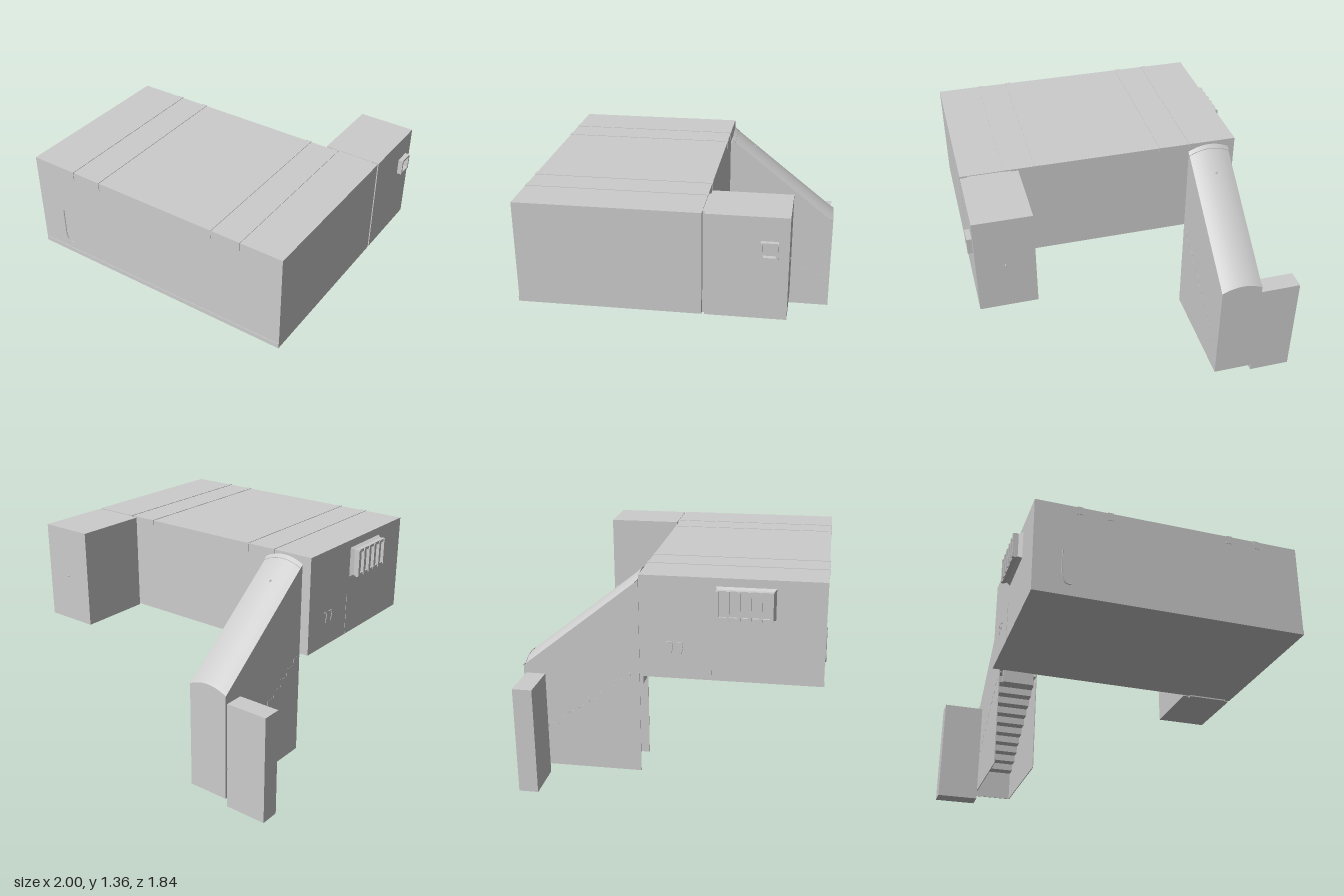
import * as THREE from 'three';
import { toCreasedNormals } from 'three/addons/utils/BufferGeometryUtils.js';

export function createModel() {
  const model = new THREE.Group();
  model.name = 'bunker';
  const grey = new THREE.MeshStandardMaterial({ color: 0xcccccc, side: THREE.DoubleSide });
  grey.name = 'plain grey';

  const add = (name, geometry, parent = model) => {
    const mesh = new THREE.Mesh(geometry, grey);
    mesh.name = name;
    parent.add(mesh);
    return mesh;
  };
  const group = (name) => {
    const g = new THREE.Group();
    g.name = name;
    model.add(g);
    return g;
  };
  // box given by its extents on each axis
  const box = (name, x0, x1, y0, y1, z0, z1, parent) => {
    const m = add(name, new THREE.BoxGeometry(x1 - x0, y1 - y0, z1 - z0), parent);
    m.position.set((x0 + x1) / 2, (y0 + y1) / 2, (z0 + z1) / 2);
    return m;
  };
  // a (z, y) outline extruded across x
  const slab = (name, points, x0, x1, parent) => {
    const shape = new THREE.Shape(points.map(([z, y]) => new THREE.Vector2(z, y)));
    const g = new THREE.ExtrudeGeometry(shape, { depth: x1 - x0, bevelEnabled: false });
    g.rotateY(-Math.PI / 2).translate(x1, 0, 0);
    return add(name, g, parent);
  };
  const pipe = (name, points, radius, parent) => {
    const curve = new THREE.CatmullRomCurve3(points.map((p) => new THREE.Vector3(...p)));
    return add(name, new THREE.TubeGeometry(curve, 16, radius, 6), parent);
  };

  // main hall with a slim skirt along the bottom
  const hall = group('hall');
  box('hallBody', -0.785, 0.965, 0.725, 1.355, -0.18, 0.908, hall);
  box('frontSkirt', -0.782, 0.965, 0.725, 0.755, 0.9, 0.912, hall);

  // straps over the roof with short tabs down the front and back
  const straps = group('roofStraps');
  for (const x of [-0.5, -0.305, 0.49, 0.68]) {
    box('strapTop', x - 0.019, x + 0.019, 1.35, 1.358, -0.183, 0.911, straps);
    box('strapFrontTab', x - 0.019, x + 0.019, 1.303, 1.357, 0.905, 0.911, straps);
    box('strapBackTab', x - 0.019, x + 0.019, 1.303, 1.357, -0.183, -0.177, straps);
  }

  // small pipework on the front and right walls
  pipe('frontPipe', [[-0.605, 1.03, 0.91], [-0.605, 0.93, 0.91], [-0.6, 0.84, 0.912], [-0.58, 0.806, 0.912], [-0.548, 0.802, 0.91]], 0.004, hall);
  for (const z of [0, 0.06]) {
    pipe('wallHook', [[-0.786, 0.95, z - 0.02], [-0.786, 0.95, z + 0.015], [-0.786, 0.88, z + 0.01]], 0.003, hall);
  }
  box('wallSeam', -0.787, -0.78, 0.73, 1.0, 0.248, 0.252, hall);

  // rear annex with its joining collar, square vent and knob
  const annex = group('annex');
  box('annexBody', 0.612, 0.965, 0.725, 1.353, -0.67, -0.195, annex);
  box('annexCollar', 0.655, 0.925, 0.716, 1.35, -0.2, -0.165, annex);
  const knob = add('annexKnob', new THREE.SphereGeometry(0.006, 10, 8), annex);
  knob.position.set(0.79, 1.03, -0.672);
  const ring = new THREE.Shape([[-0.05, -0.05], [0.05, -0.05], [0.05, 0.05], [-0.05, 0.05]].map((p) => new THREE.Vector2(...p)));
  ring.holes.push(new THREE.Path([[-0.038, -0.038], [-0.038, 0.038], [0.038, 0.038], [0.038, -0.038]].map((p) => new THREE.Vector2(...p))));
  const ringGeo = new THREE.ExtrudeGeometry(ring, { depth: 0.03, bevelEnabled: false }).rotateY(Math.PI / 2);
  add('squareVent', ringGeo, annex).position.set(0.965, 1.16, -0.56);

  // barred grille on the right wall: flared base, frame and bars
  const grille = group('grille');
  const flare = new THREE.BoxGeometry(0.03, 0.19, 0.35);
  const fp = flare.attributes.position;
  for (let i = 0; i < fp.count; i++) {
    if (fp.getX(i) < 0) fp.setXYZ(i, fp.getX(i), fp.getY(i) * 0.82, fp.getZ(i) * 0.9);
  }
  flare.computeVertexNormals();
  add('grilleFlare', flare, grille).position.set(-0.8, 1.21, 0.445);
  box('grilleBack', -0.825, -0.81, 1.125, 1.295, 0.28, 0.605, grille);
  for (const y of [1.12, 1.278]) box('grilleRail', -0.84, -0.822, y, y + 0.018, 0.277, 0.607, grille);
  for (let i = 0; i < 6; i++) {
    const z = 0.277 + i * 0.0624;
    box('grilleBar', -0.846, -0.822, 1.122, 1.294, z, z + 0.018, grille);
  }

  // sloping stairwell, open underneath
  const X0 = -0.735, X1 = -0.475, XC = -0.605, ZB = -0.925, ZF = -0.195;
  const EAVE = 0.73, SLOPE = 0.79, RISE = 0.035;
  const eaveAt = (z) => EAVE + SLOPE * (z - ZB);
  const stairwell = group('stairwell');
  const side = [[ZB, 0.06], [ZF, 0.06], [ZF, eaveAt(ZF)], [ZB, EAVE]];
  slab('stairWall', side, X0, X0 + 0.005, stairwell);
  slab('stairWall', side, X1 - 0.005, X1, stairwell);

  // arched outline across x, from one eave to the other
  const arch = (halfWidth, lift) => Array.from({ length: 13 }, (_, i) => {
    const t = -1 + i / 6;
    return new THREE.Vector2(t * halfWidth, lift + RISE * (1 - t * t));
  });
  const endShape = new THREE.Shape([
    new THREE.Vector2(0.13, 0.06 - EAVE), new THREE.Vector2(-0.13, 0.06 - EAVE), ...arch(0.13, -0.003),
  ]);
  add('stairEndWall', new THREE.ExtrudeGeometry(endShape, { depth: 0.005, bevelEnabled: false }), stairwell)
    .position.set(XC, EAVE, ZB);

  // arched roof pieces sheared to follow the slope
  const roof = (name, z0, z1, halfWidth, lift) => {
    const shape = new THREE.Shape([...arch(halfWidth, lift), ...arch(halfWidth - 0.004, lift - 0.01).reverse()]);
    const g = new THREE.ExtrudeGeometry(shape, { depth: z1 - z0, bevelEnabled: false });
    const p = g.attributes.position;
    for (let i = 0; i < p.count; i++) {
      const z = p.getZ(i) + z0;
      p.setXYZ(i, p.getX(i) + XC, p.getY(i) + eaveAt(z), z);
    }
    add(name, toCreasedNormals(g, 0.6), stairwell);
  };
  roof('stairRoof', ZB, ZF, 0.13, 0);
  roof('roofRimLow', ZB, ZB + 0.015, 0.132, 0.004);
  roof('roofRimHigh', ZF - 0.022, ZF, 0.132, 0.004);

  // folded sheet of steps climbing from the rear landing to the hall
  const STEPS = 10, rise = 0.046, run = 0.066;
  const top = [[ZB, 0.26]];
  for (let i = 0; i < STEPS; i++) {
    const z = ZF - (STEPS - i) * run;
    top.push([z, 0.26 + i * rise], [z, 0.26 + (i + 1) * rise]);
  }
  top.push([ZF, 0.26 + STEPS * rise]);
  const under = top.map(([z, y], i) => [i && i < top.length - 1 ? z + 0.008 : z, y - 0.008]).reverse();
  slab('steps', [...top, ...under], X0 - 0.001, X1 + 0.001, stairwell);

  // doorway collar joining the stairwell to the hall
  box('doorCollar', -0.71, -0.5, 0.64, 1.28, -0.202, -0.178, stairwell);
  const lamp = add('roofStud', new THREE.SphereGeometry(0.008, 10, 8), stairwell);
  lamp.position.set(-0.61, eaveAt(-0.345) + RISE, -0.345);

  // tall cabinet beside the lower end of the stairwell
  box('cabinet', -1, -0.735, 0, 0.68, -0.91, -0.79);

  return model;
}
